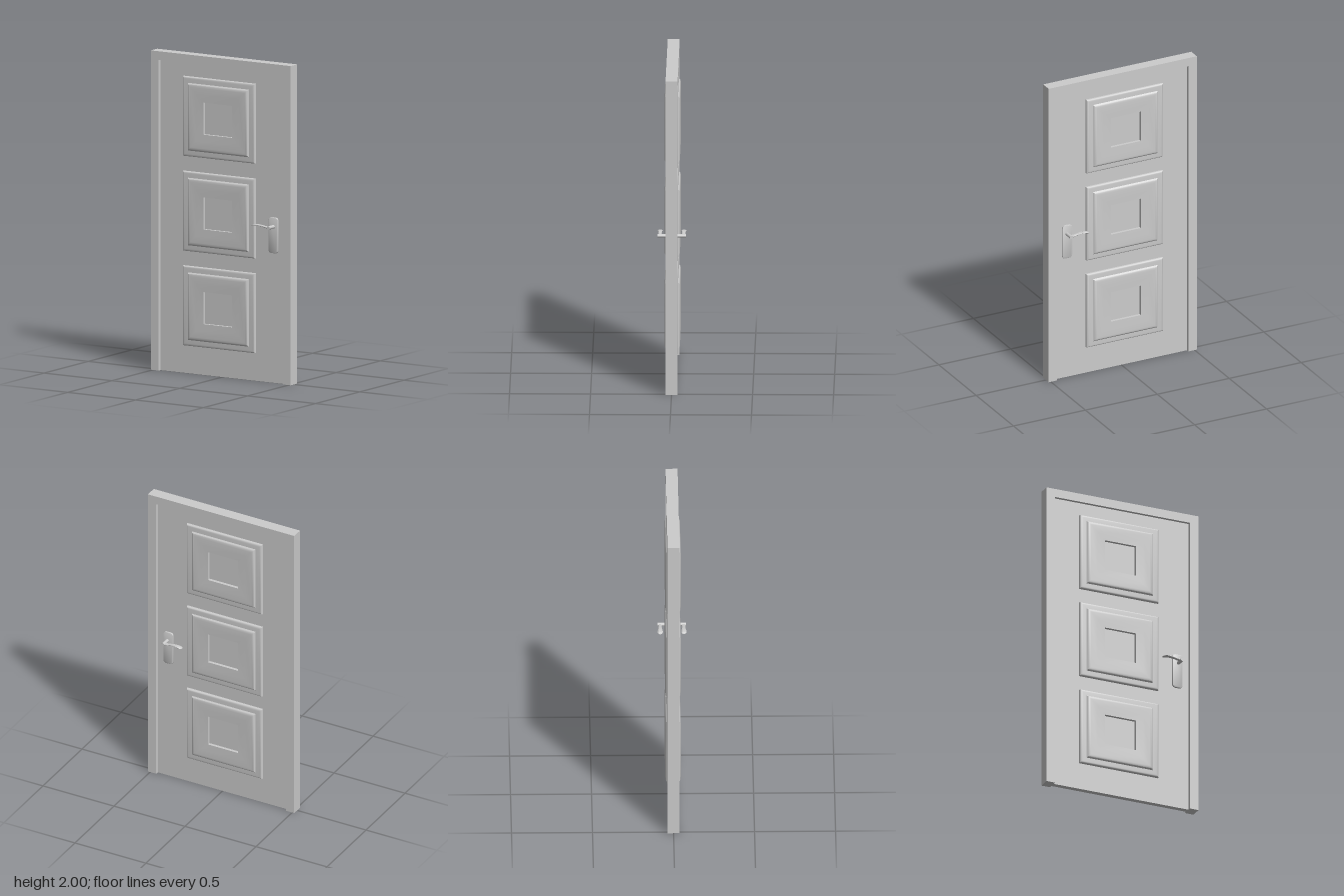
import * as THREE from 'three';
import { toCreasedNormals } from 'three/addons/utils/BufferGeometryUtils.js';

const material = new THREE.MeshStandardMaterial({ color: 0xcccccc, roughness: 0.7 });

const FRAME_HALF = 0.037;  // half depth of the frame
const DOOR_HALF = 0.017;   // half thickness of the door leaf

function addMesh(parent, name, geometry, x = 0, y = 0, z = 0) {
  const mesh = new THREE.Mesh(geometry, material);
  mesh.name = name;
  mesh.position.set(x, y, z);
  parent.add(mesh);
  return mesh;
}

// Skin a list of equal-length closed rings; both ends are capped with a fan.
function loft(rings, crease, capStart = true) {
  const n = rings[0].length;
  const positions = rings.flat().flatMap((p) => p.toArray());
  const index = [];
  for (let r = 0; r < rings.length - 1; r++) {
    for (let i = 0; i < n; i++) {
      const j = (i + 1) % n;
      const a = r * n + i, b = r * n + j, c = a + n, d = b + n;
      index.push(a, b, d, a, d, c);
    }
  }
  const last = (rings.length - 1) * n;
  for (let i = 1; i < n - 1; i++) {
    index.push(last, last + i, last + i + 1);
    if (capStart) index.push(0, i + 1, i);
  }
  const geometry = new THREE.BufferGeometry();
  geometry.setAttribute('position', new THREE.Float32BufferAttribute(positions, 3));
  geometry.setIndex(index);
  return toCreasedNormals(geometry, crease);
}

// Raised panel: rectangles stepping inward, as [inset from edge, height z].
function panelGeometry(halfW, halfH) {
  const profile = [
    [0, 0.015], [0, 0.026], [0.003, 0.031], [0.009, 0.034], [0.016, 0.035],
    [0.041, 0.036], [0.045, 0.039], [0.049, 0.044], [0.056, 0.047], [0.066, 0.048],
    [0.11, 0.047], [0.161, 0.045], [0.161, 0.026],
  ];
  const rings = profile.map(([inset, z]) => {
    const w = halfW - inset;
    // the opening is slightly less inset vertically than horizontally
    const h = halfH - inset * 0.93;
    return [[-w, -h], [w, -h], [w, h], [-w, h]].map(([x, y]) => new THREE.Vector3(x, y, z));
  });
  return loft(rings, 0.6, false);
}

// Lever: elliptical sections along -x, as [x, y, half height, half depth].
function leverGeometry() {
  const stations = [
    [0.004, -0.003, 0.007, 0.012], [-0.016, -0.004, 0.007, 0.012],
    [-0.035, -0.001, 0.006, 0.010], [-0.055, 0.003, 0.005, 0.011],
    [-0.078, 0.005, 0.005, 0.013], [-0.1, 0.004, 0.005, 0.016],
    [-0.115, 0.001, 0.005, 0.016], [-0.124, -0.001, 0.004, 0.012],
    [-0.128, -0.002, 0.002, 0.006],
  ];
  const sides = 16;
  const rings = stations.map(([x, y, h, d]) => Array.from({ length: sides }, (_, i) => {
    const a = (i / sides) * Math.PI * 2;
    return new THREE.Vector3(x, y + Math.sin(a) * h, Math.cos(a) * d);
  }));
  // sections run towards -x, so reverse each ring to face outward
  return loft(rings.map((ring) => ring.reverse()).map((ring) => ring.reverse()), 1.0);
}

function roundedRect(w, h, r) {
  const s = new THREE.Shape();
  s.moveTo(-w + r, -h);
  s.lineTo(w - r, -h);
  s.absarc(w - r, -h + r, r, -Math.PI / 2, 0, false);
  s.lineTo(w, h - r);
  s.absarc(w - r, h - r, r, 0, Math.PI / 2, false);
  s.lineTo(-w + r, h);
  s.absarc(-w + r, h - r, r, Math.PI / 2, Math.PI, false);
  s.lineTo(-w, -h + r);
  s.absarc(-w + r, -h + r, r, Math.PI, Math.PI * 1.5, false);
  return s;
}

export function createModel() {
  const model = new THREE.Group();
  model.name = 'door';

  // Frame: two jambs and a head in one piece, open at the threshold
  const outline = new THREE.Shape([
    [-0.515, 0], [-0.457, 0], [-0.457, 1.945], [0.457, 1.945],
    [0.457, 0], [0.515, 0], [0.515, 2], [-0.515, 2],
  ].map(([x, y]) => new THREE.Vector2(x, y)));
  const frame = new THREE.ExtrudeGeometry(outline, { depth: FRAME_HALF * 2, bevelEnabled: false });
  addMesh(model, 'frame', frame, 0, 0, -FRAME_HALF);

  // Door leaf
  addMesh(model, 'doorLeaf', new THREE.BoxGeometry(0.914, 1.945, DOOR_HALF * 2), 0, 0.9725, 0);

  // Raised panels on both faces
  const panel = panelGeometry(0.266, 0.25);
  for (const y of [0.424, 1.017, 1.611]) {
    for (const turn of [0, Math.PI]) {
      addMesh(model, turn ? 'backPanel' : 'frontPanel', panel, -0.018, y, 0).rotation.y = turn;
    }
  }

  // Handles on both faces, both levers pointing away from the lock side
  const plate = toCreasedNormals(new THREE.ExtrudeGeometry(roundedRect(0.032, 0.11, 0.018), {
    depth: 0.008, bevelEnabled: true, bevelThickness: 0.003, bevelSize: 0.002, bevelSegments: 2, curveSegments: 8,
  }), 0.6);
  const stem = new THREE.CylinderGeometry(0.011, 0.011, 0.073, 20);
  stem.rotateX(Math.PI / 2);
  const lever = leverGeometry();
  for (const side of [1, -1]) {
    const handle = new THREE.Group();
    handle.name = side > 0 ? 'frontHandle' : 'backHandle';
    addMesh(handle, 'backplate', plate, 0.379, 0.925, side * DOOR_HALF).rotation.y = side > 0 ? 0 : Math.PI;
    addMesh(handle, 'stem', stem, 0.383, 0.98, side * 0.0515);
    addMesh(handle, 'lever', lever, 0.383, 0.984, side * 0.073);
    model.add(handle);
  }
  return model;
}
